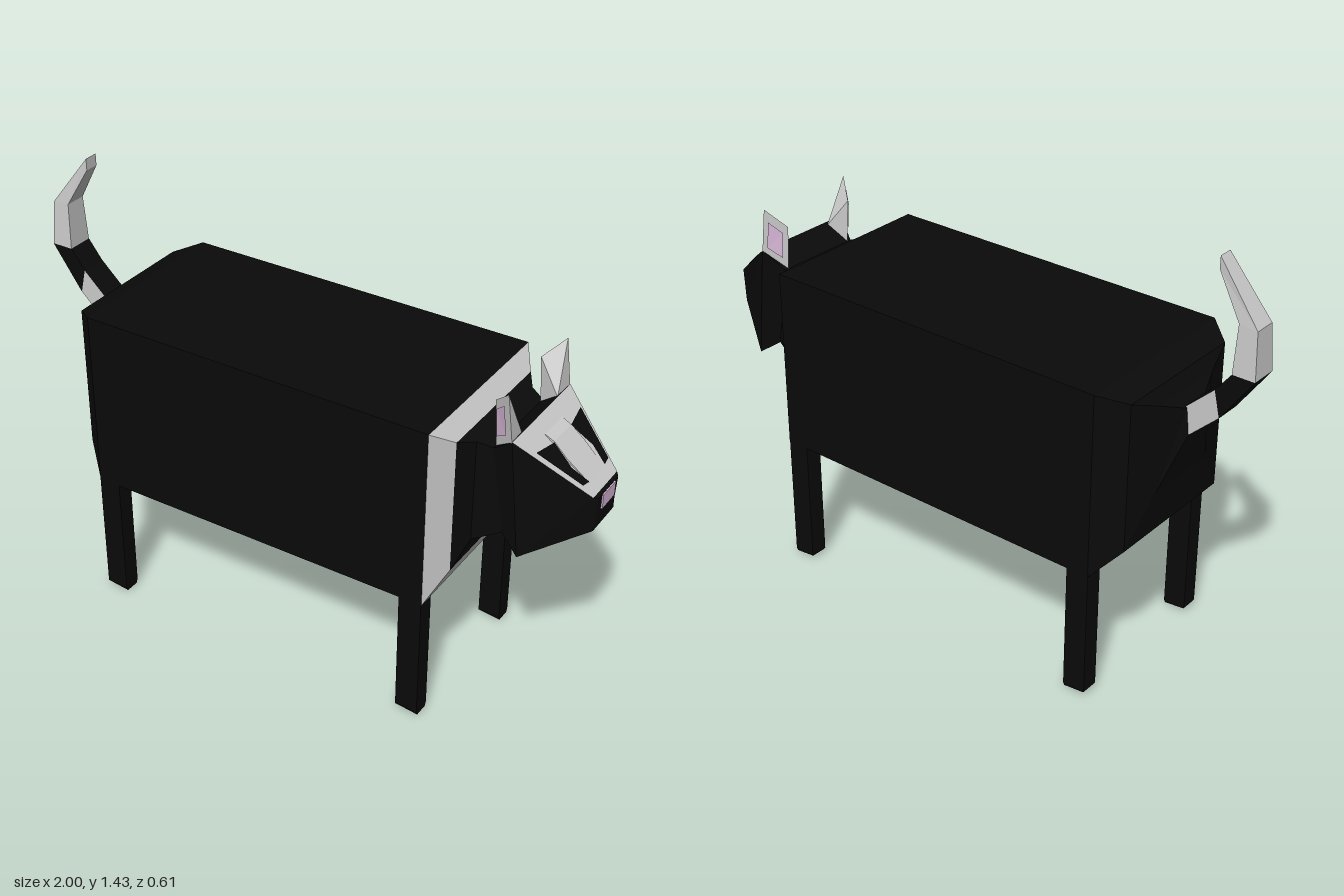
import * as THREE from 'three';
import { ConvexGeometry } from 'three/addons/geometries/ConvexGeometry.js';

const material = (color) =>
  new THREE.MeshStandardMaterial({ color, flatShading: true, side: THREE.DoubleSide });
const black = material(0x0a0a0a);
const grey = material(0xcccccc);
const pink = material(0xdcbcdc);

// A ring is four corners: [topX, topY, bottomX, bottomY, topHalfWidth, bottomHalfWidth]
function corners([tx, ty, bx, by, wt, wb = wt]) {
  return [[tx, ty, wt], [tx, ty, -wt], [bx, by, -wb], [bx, by, wb]];
}

// Joins rings running towards +x. Sides: 0 top, 1 right, 2 bottom, 3 left.
function loft(rings, { sides = [0, 1, 2, 3], start = false, end = false } = {}) {
  const c = rings.map(corners);
  const pos = [];
  const quad = (a, b, d, e) => pos.push(...a, ...b, ...d, ...a, ...d, ...e);
  for (let r = 0; r < c.length - 1; r++) {
    for (const i of sides) {
      const j = (i + 1) % 4;
      quad(c[r][i], c[r + 1][i], c[r + 1][j], c[r][j]);
    }
  }
  if (start) quad(...c[0]);
  if (end) quad(...[...c[c.length - 1]].reverse());
  const g = new THREE.BufferGeometry();
  g.setAttribute('position', new THREE.Float32BufferAttribute(pos, 3));
  g.computeVertexNormals();
  return g;
}

// Upright ring at one x position
const upright = (x, y0, y1, w) => [x, y1, x, y0, w];

export function createModel() {
  const model = new THREE.Group();
  model.name = 'cat';
  const add = (name, geometry, mat, parent = model) => {
    const mesh = new THREE.Mesh(geometry, mat);
    mesh.name = name;
    parent.add(mesh);
    return mesh;
  };

  // Torso with tapered rump
  const chest = upright(0.57, 0.44, 1.05, 0.305);
  const collarFront = upright(0.62, 0.545, 1.0, 0.23);
  add('torso', loft([
    [-0.79, 0.945, -0.8, 0.86, 0.045],
    upright(-0.757, 0.69, 0.98, 0.135),
    upright(-0.73, 0.53, 1.02, 0.24),
    upright(-0.65, 0.44, 1.05, 0.305),
    chest,
  ], { start: true }), black);
  add('collar', loft([chest, collarFront]), grey);

  // Shallow belly panel
  const belly = [
    [-0.58, 0.44, -0.58, 0.425, 0.245],
    [-0.53, 0.44, -0.53, 0.41, 0.245],
    [0.44, 0.44, 0.44, 0.41, 0.245],
    [0.49, 0.44, 0.49, 0.425, 0.245],
  ];
  add('bellyEdge', loft(belly, { sides: [1, 3], start: true, end: true }), black);
  add('bellyRearSlope', loft(belly.slice(0, 2), { sides: [2] }), black);
  add('bellyFrontSlope', loft(belly.slice(2), { sides: [2] }), black);
  add('bellyPanel', loft(belly.slice(1, 3), { sides: [2] }), grey);

  // Neck and head
  const headBack = [0.77, 1.03, 0.81, 0.645, 0.185];
  const muzzle = [0.985, 0.86, 0.99, 0.74, 0.08, 0.07];
  add('neck', loft([
    collarFront,
    upright(0.655, 0.64, 0.985, 0.175),
    [0.7, 0.97, 0.745, 0.69, 0.155],
    headBack,
  ]), black);
  add('head', loft([headBack, muzzle], { sides: [1, 2, 3] }), black);
  add('muzzle', loft([muzzle, [0.996, 0.855, 0.994, 0.76, 0.065, 0.055]], { end: true }), black);
  add('face', loft([headBack, muzzle], { sides: [0] }), grey);
  add('noseBridge', loft([
    [0.81, 1.0, 0.81, 0.96, 0.055],
    [0.84, 0.985, 0.84, 0.94, 0.054],
    [0.885, 0.945, 0.885, 0.9, 0.058],
    [0.955, 0.885, 0.955, 0.85, 0.05],
  ], { sides: [0, 1, 3] }), grey);
  add('nose', loft([
    upright(0.985, 0.805, 0.855, 0.042),
    upright(1.0, 0.805, 0.853, 0.042),
  ], { end: true }), pink);

  // Eyes lie on the sloping face; ears carry a pink outer patch
  const eyeOutline = [[0.143, 0.988], [0.054, 0.978], [0.07, 0.925], [0.052, 0.886], [0.084, 0.889]];
  const earOuter = [[0.69, 1.12, 0.14], [0.75, 1.18, 0.185], [0.77, 1.025, 0.185], [0.7, 0.97, 0.14]]
    .map((p) => new THREE.Vector3(...p));
  const earInner = new THREE.Vector3(0.765, 1.02, 0.113);

  for (const s of [1, -1]) {
    const side = s > 0 ? 'left' : 'right';
    const eye = new THREE.ShapeGeometry(new THREE.Shape(eyeOutline.map((p) => new THREE.Vector2(...p))));
    const p = eye.attributes.position;
    for (let i = 0; i < p.count; i++) {
      const z = p.getX(i), y = p.getY(i);
      p.setXYZ(i, 0.774 + (1.03 - y) * 1.265, y + 0.004, z * s);
    }
    eye.computeVertexNormals();
    add(side + 'Eye', eye, black);

    const flip = (v) => new THREE.Vector3(v.x, v.y, v.z * s);
    add(side + 'Ear', new ConvexGeometry([...earOuter, earInner].map(flip)), grey);

    const middle = new THREE.Vector3();
    earOuter.forEach((v) => middle.addScaledVector(v, 0.25));
    const q = earOuter.map((v) => {
      const w = v.clone().lerp(middle, 0.4);
      w.z += 0.006;
      w.x -= 0.004;
      return flip(w);
    });
    const patch = new THREE.BufferGeometry().setFromPoints([q[0], q[3], q[2], q[0], q[2], q[1]]);
    if (s < 0) patch.setIndex([0, 2, 1, 3, 5, 4]);
    patch.computeVertexNormals();
    add(side + 'EarPatch', patch, pink);

    // Legs with slightly narrowed feet
    for (const [name, x] of [['Front', 0.53], ['Hind', -0.6125]]) {
      const leg = new THREE.BoxGeometry(0.077, 0.46, 0.06, 1, 2, 1);
      const lp = leg.attributes.position;
      for (let i = 0; i < lp.count; i++) {
        if (Math.abs(lp.getY(i)) < 0.01) lp.setY(i, -0.215);
        else if (lp.getY(i) < 0) {
          lp.setZ(i, lp.getZ(i) * 0.8);
          if (lp.getX(i) < 0) lp.setXY(i, -0.033, -0.222);
        }
      }
      leg.computeVertexNormals();
      add(side + name + 'Leg', leg, black).position.set(x, 0.23, s * 0.275);
    }
  }

  // Tail, listed from tip to base
  const tail = [
    [-0.85, 1.39, -0.85, 1.43, 0.024],
    [-0.93, 1.255, -0.99, 1.25, 0.037],
    [-0.925, 1.1, -1.0, 1.1, 0.045],
    [-0.875, 1.035, -0.895, 0.95, 0.045],
    [-0.785, 0.95, -0.8, 0.86, 0.045],
  ];
  add('tailTip', loft(tail.slice(0, 3), { start: true }), grey);
  add('tailMiddle', loft(tail.slice(2, 4)), black);
  add('tailBase', loft(tail.slice(3), { sides: [0, 2] }), black);
  add('tailBaseSides', loft(tail.slice(3), { sides: [1, 3] }), grey);

  return model;
}
